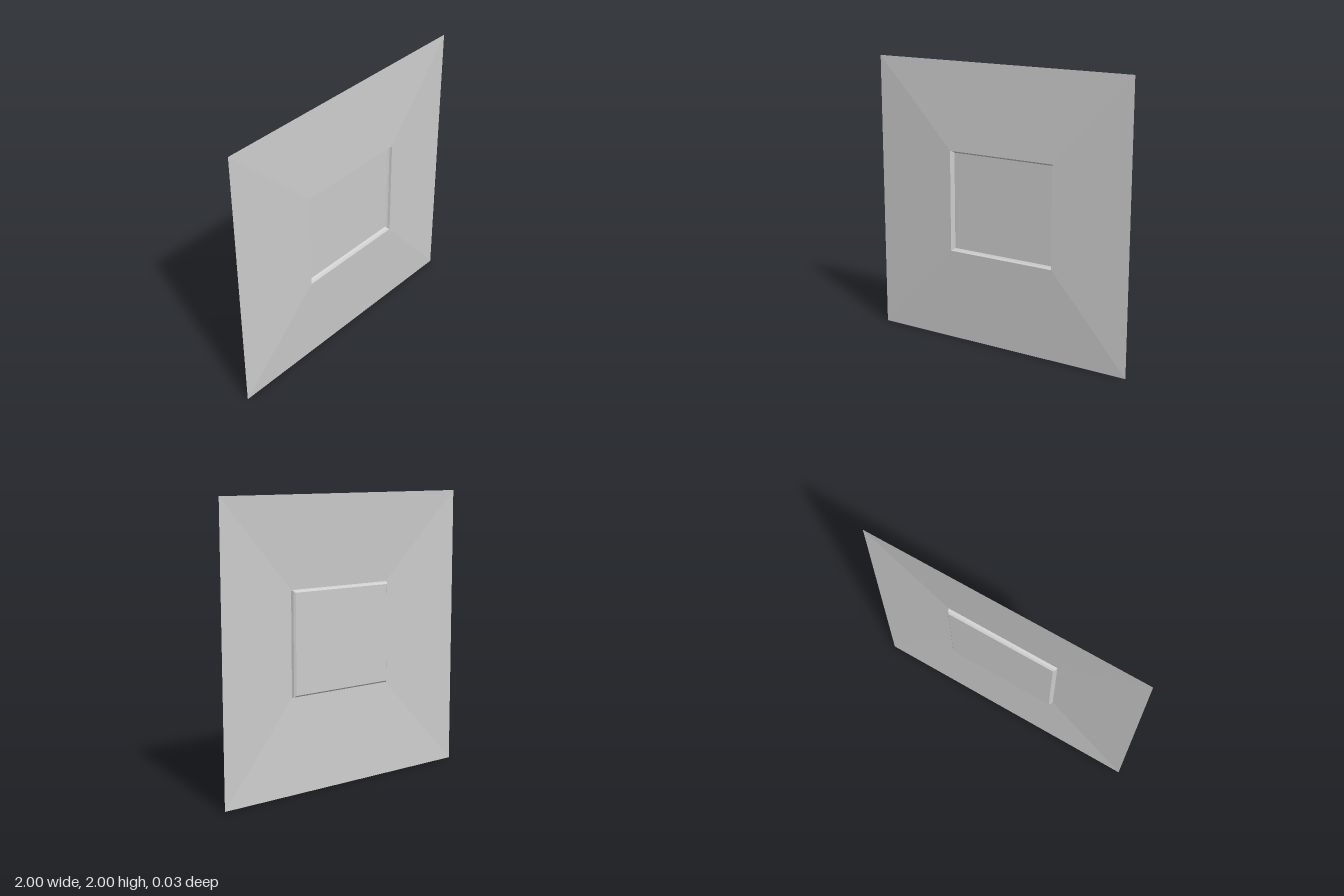
import * as THREE from 'three';

// Rectangular cross-sections from the outer edge to the recessed floor: x0, x1, y0, y1, z
const outer = [-1, 1, 0, 2, -0.015];
const rim = [-0.38, 0.44, 0.66, 1.38, 0.015];
const inset = (d, z) => [rim[0] + d, rim[1] - d, rim[2] + d, rim[3] - d, z];
const ledge = inset(0.005, -0.003);
const floor = inset(0.016, -0.015);

const corners = ([x0, x1, y0, y1, z]) => [[x0, y0, z], [x1, y0, z], [x1, y1, z], [x0, y1, z]];

// Four flat faces joining one rectangle to the next one inside it
function band(a, b) {
  const A = corners(a), B = corners(b), points = [];
  for (let i = 0; i < 4; i++) {
    const j = (i + 1) % 4;
    points.push(...A[i], ...A[j], ...B[j], ...A[i], ...B[j], ...B[i]);
  }
  const geometry = new THREE.BufferGeometry();
  geometry.setAttribute('position', new THREE.Float32BufferAttribute(points, 3));
  geometry.computeVertexNormals();
  return geometry;
}

export function createModel() {
  const group = new THREE.Group();
  group.name = 'recessedPanel';
  const grey = new THREE.MeshStandardMaterial({ color: 0xcccccc, side: THREE.DoubleSide, flatShading: true });
  grey.name = 'light grey';

  const add = (name, geometry) => {
    const mesh = new THREE.Mesh(geometry, grey);
    mesh.name = name;
    group.add(mesh);
    return mesh;
  };

  // Shallow sloping surround, hollow behind
  add('slopingSurround', band(outer, rim));
  // Steep wall and chamfer of the recess
  add('recessWall', band(rim, ledge));
  add('recessChamfer', band(ledge, floor));
  // Flat floor of the recess
  const [x0, x1, y0, y1, z] = floor;
  add('recessFloor', new THREE.PlaneGeometry(x1 - x0, y1 - y0))
    .position.set((x0 + x1) / 2, (y0 + y1) / 2, z);

  return group;
}
